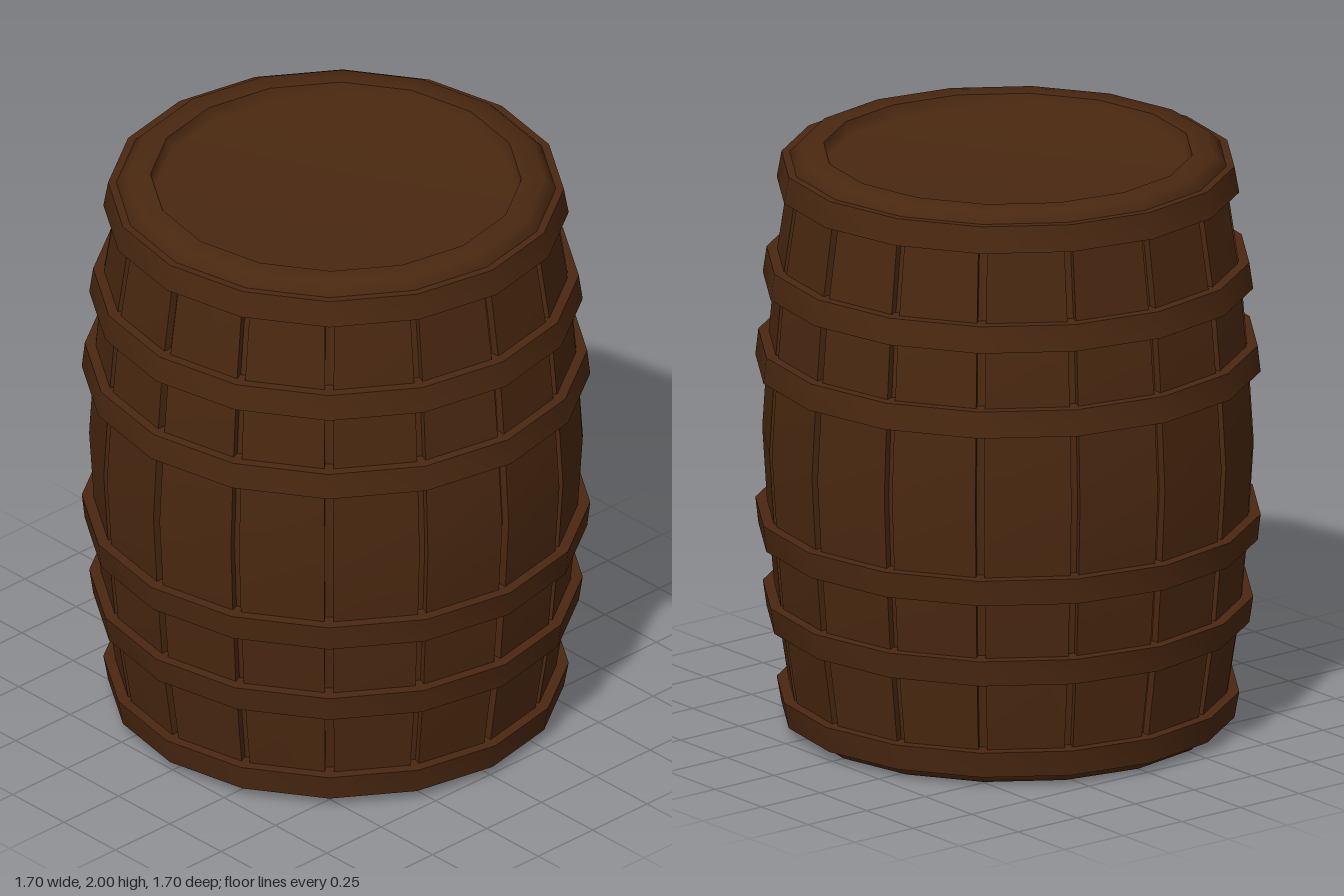
import * as THREE from 'three';
import { toCreasedNormals } from 'three/addons/utils/BufferGeometryUtils.js';

const SIDES = 16;
const wood = new THREE.MeshStandardMaterial({ color: 0x4a2810 });

function addMesh(parent, name, geometry) {
  const mesh = new THREE.Mesh(geometry, wood);
  mesh.name = name;
  parent.add(mesh);
}

function lathe(points) {
  return new THREE.LatheGeometry(points.map(([r, y]) => new THREE.Vector2(r, y)), SIDES);
}

// Bulging barrel outline: [radius, height]
const outline = [
  [0.73, 0.04], [0.74, 0.12], [0.785, 0.42], [0.81, 0.71], [0.828, 1],
  [0.81, 1.29], [0.785, 1.58], [0.74, 1.88], [0.73, 1.96],
];

// Strip swept up the outline; each edge is an [offset along face, radial inset, side] column
function strip(columns) {
  const half = Math.PI / SIDES;
  const positions = [], index = [];
  const n = columns.length;
  outline.forEach(([radius, y], row) => {
    for (const { side, gap, inset } of columns) {
      const r = radius - inset;
      const x = side * (r * Math.sin(half) - gap);
      positions.push(x, y, r * Math.cos(half));
      if (row === 0) continue;
      const c = positions.length / 3 - 1;
      if (c % n === 0) continue;
      index.push(c - n - 1, c - n, c, c - n - 1, c, c - 1);
    }
  });
  const geometry = new THREE.BufferGeometry();
  geometry.setAttribute('position', new THREE.Float32BufferAttribute(positions, 3));
  geometry.setIndex(index);
  return geometry;
}

// One plank: flat face with narrow recessed joints along both edges
function staveGeometry() {
  return toCreasedNormals(strip([
    { side: -1, gap: 0, inset: 0.035 },
    { side: -1, gap: 0.015, inset: 0.03 },
    { side: -1, gap: 0.015, inset: 0 },
    { side: 1, gap: 0.015, inset: 0 },
    { side: 1, gap: 0.015, inset: 0.03 },
    { side: 1, gap: 0, inset: 0.035 },
  ]), 0.7);
}

// Hoop with a square section that leans with the barrel wall
function hoopGeometry(low, high, rLow, rHigh) {
  const depth = 0.07;
  return toCreasedNormals(lathe([
    [rLow - depth, low], [rLow, low], [rHigh, high], [rHigh - depth, high], [rLow - depth, low],
  ]), 0.7);
}

// Upper half fittings, measured from the barrel's middle
function createHalf(name) {
  const half = new THREE.Group();
  half.name = name;
  const hoops = [
    ['middleHoop', 0.25, 0.34, 0.85, 0.84],
    ['shoulderHoop', 0.54, 0.63, 0.825, 0.812],
    ['endHoop', 0.875, 0.965, 0.778, 0.762],
  ];
  for (const [hoopName, ...size] of hoops) addMesh(half, hoopName, hoopGeometry(...size));
  // Bevelled rim and softly shaded sunken lid
  addMesh(half, 'rim', toCreasedNormals(lathe([[0.735, 0.89], [0.735, 0.965], [0.7, 1], [0.62, 1]]), 0.9));
  addMesh(half, 'lid', lathe([[0.62, 1], [0.605, 0.955], [0, 0.955]]));
  return half;
}

export function createModel() {
  const barrel = new THREE.Group();
  barrel.name = 'barrel';

  // Ring of staves, joints on the corners of the sixteen-sided body
  const stave = staveGeometry();
  for (let i = 0; i < SIDES; i++) {
    const geometry = stave.clone().rotateY(((i + 0.5) / SIDES) * Math.PI * 2);
    addMesh(barrel, 'stave', geometry);
  }

  // The lower half is the upper half turned over
  const top = createHalf('upperFittings');
  const bottom = createHalf('lowerFittings');
  bottom.rotation.x = Math.PI;
  for (const half of [top, bottom]) {
    half.position.y = 1;
    barrel.add(half);
  }
  return barrel;
}
